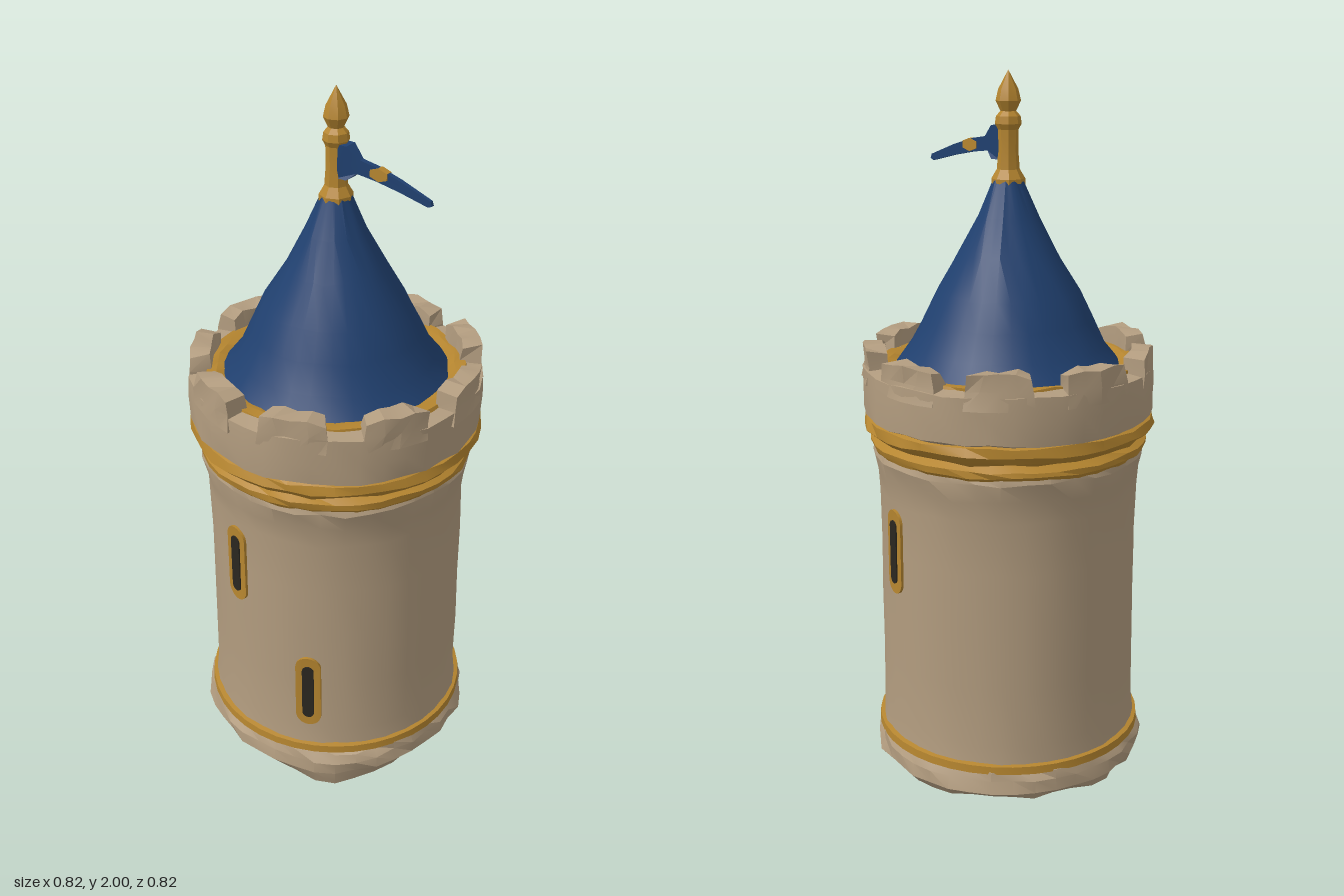
import * as THREE from 'three';
import { toCreasedNormals } from 'three/addons/utils/BufferGeometryUtils.js';

const mat = (name, color, side = THREE.FrontSide) => {
  const m = new THREE.MeshStandardMaterial({ color, side });
  m.name = name;
  return m;
};

// Repeatable noise in -1..1 that depends only on position, so seams stay closed
function noise(x, y, z, k) {
  const n = Math.sin(Math.round(x * 1000) * 12.99 + Math.round(y * 1000) * 78.23 +
    Math.round(z * 1000) * 37.72 + k * 4.1) * 43758.55;
  return (n - Math.floor(n)) * 2 - 1;
}

// Move every vertex by a rule
function warp(geo, rule) {
  const p = geo.attributes.position;
  const v = new THREE.Vector3();
  for (let i = 0; i < p.count; i++) {
    rule(v.fromBufferAttribute(p, i));
    p.setXYZ(i, v.x, v.y, v.z);
  }
  return geo;
}

// Chip the surface: push vertices in or out and up or down
function roughen(geo, radial, vertical) {
  return warp(geo, (v) => {
    const f = 1 + radial * noise(v.x, v.y, v.z, 1) / Math.max(Math.hypot(v.x, v.z), 0.1);
    const dy = vertical * noise(v.x, v.y, v.z, 2);
    v.set(v.x * f, v.y + dy, v.z * f);
  });
}

const lathe = (points, sides) =>
  new THREE.LatheGeometry(points.map(([r, y]) => new THREE.Vector2(r, y)), sides);

// Upright slot with round ends
function slot(w, h) {
  const r = w / 2, c = h / 2 - r;
  const s = new THREE.Shape();
  s.absarc(0, c, r, 0, Math.PI);
  s.absarc(0, -c, r, Math.PI, Math.PI * 2);
  return s;
}

export function createModel() {
  const tower = new THREE.Group();
  tower.name = 'tower';
  const stone = mat('sandstone', 0xb29c7f);
  const gold = mat('gold', 0xb5852f);
  const blue = mat('roofBlue', 0x20406f);
  const dark = mat('windowDark', 0x2a2720);

  const add = (name, geo, material, crease = 0.35, parent = tower) => {
    const mesh = new THREE.Mesh(toCreasedNormals(geo, crease), material);
    mesh.name = name;
    parent.add(mesh);
    return mesh;
  };

  // Ragged foot, with one lump hanging down to the ground at the front left
  const foot = lathe([[0, 0.045], [0.25, 0.045], [0.372, 0.045], [0.392, 0.07],
    [0.39, 0.105], [0.378, 0.13], [0.362, 0.14]], 40);
  warp(foot, (v) => {
    const r = Math.hypot(v.x, v.z);
    if (r < 0.3) return;
    const low = v.y < 0.06;
    const f = 1 + (low ? 0.035 : 0.02) * noise(v.x, v.y, v.z, 1);
    const lump = Math.max(0, 1 - Math.max(0, Math.hypot(v.x - 0.217, v.z - 0.301) - 0.03) / 0.16);
    v.set(v.x * f, v.y - (low ? 0.045 : 0.02) * lump, v.z * f);
  });
  add('foot', foot, stone);

  add('footBand', lathe([[0.365, 0.12], [0.384, 0.125], [0.382, 0.147], [0.36, 0.152]], 40), gold);

  // Main wall, flaring out under the parapet
  const wall = lathe([[0.372, 0.13], [0.366, 0.2], [0.364, 0.37], [0.364, 0.54], [0.364, 0.7],
    [0.364, 0.85], [0.371, 0.91], [0.383, 0.965], [0.375, 0.99]], 36);
  add('wall', roughen(wall, 0.003, 0.006), stone, 0.5);

  // Double gold moulding with a groove between
  const moulding = lathe([[0.37, 0.965], [0.387, 0.985], [0.387, 1.002], [0.368, 1.014],
    [0.39, 1.026], [0.409, 1.045], [0.403, 1.07], [0.38, 1.08]], 40);
  add('moulding', roughen(moulding, 0.004, 0.004), gold);

  // Parapet wall and the gold walkway inside it
  const parapet = lathe([[0.38, 1.065], [0.404, 1.078], [0.407, 1.14], [0.404, 1.205],
    [0.345, 1.212], [0.335, 1.15]], 40);
  add('parapet', roughen(parapet, 0.004, 0.005), stone);
  const walkway = lathe([[0.36, 1.195], [0.357, 1.217], [0.33, 1.217], [0.28, 1.2]], 40);
  add('walkway', roughen(walkway, 0.006, 0.003), gold);

  // Nine chipped merlons, each a box bent round the tower
  const merlons = new THREE.Group();
  merlons.name = 'merlons';
  tower.add(merlons);
  for (let i = 0; i < 9; i++) {
    const mid = (i * 40 + 20) * Math.PI / 180;
    const halfAngle = (13.5 + 1.5 * noise(i, 0, 0, 3)) * Math.PI / 180;
    const top = 1.262 + 0.008 * noise(i, 0, 0, 4);
    const block = new THREE.BoxGeometry(2, 2, 2, 4, 2, 1);
    warp(block, (v) => {
      const high = (v.y + 1) / 2;
      const corner = Math.abs(v.x) > 0.9 ? 1 : 0;
      const jit = (k) => noise(v.x + i, v.y, v.z, k);
      const a = mid + v.x * halfAngle * (1 - 0.07 * high) + 0.02 * jit(5);
      const r = (v.z > 0 ? 0.407 - 0.006 * high : 0.34 + 0.006 * high) + 0.006 * jit(6);
      const y = 1.17 + (top - 1.17) * high - 0.008 * corner * high + 0.006 * high * jit(7);
      v.set(r * Math.sin(a), y, r * Math.cos(a));
    });
    add('merlon', block, stone, 0.3, merlons);
  }

  // Bell-shaped roof
  const roof = lathe([[0.29, 1.19], [0.317, 1.205], [0.272, 1.26], [0.235, 1.335], [0.198, 1.41],
    [0.135, 1.515], [0.083, 1.615], [0.042, 1.71], [0, 1.72]], 32);
  add('roof', roughen(roof, 0.003, 0.004), blue, 0.5);

  // Faceted finial with a spear tip
  add('finial', lathe([[0.046, 1.695], [0.046, 1.715], [0.031, 1.74], [0.027, 1.79], [0.028, 1.845],
    [0.036, 1.86], [0.033, 1.88], [0.021, 1.893], [0.034, 1.92], [0.027, 1.95], [0, 2]], 8), gold, 0.3);

  // Pennant, thick at the pole and thin at the tip
  const pennant = new THREE.Group();
  pennant.name = 'pennant';
  pennant.rotation.y = -0.09;
  pennant.position.z = 0.01;
  tower.add(pennant);
  const cloth = new THREE.Shape([[0.015, 1.765], [0.045, 1.765], [0.07, 1.785], [0.13, 1.778], [0.2, 1.765],
    [0.285, 1.745], [0.296, 1.75], [0.292, 1.762], [0.2, 1.795], [0.13, 1.815], [0.08, 1.823],
    [0.045, 1.855], [0.015, 1.855]].map(([x, y]) => new THREE.Vector2(x, y)));
  const clothGeo = new THREE.ExtrudeGeometry(cloth, { depth: 2, bevelEnabled: false });
  warp(clothGeo, (v) => {
    v.z = (v.z - 1) * (v.x < 0.06 ? 0.02 : 0.008 - 0.014 * (v.x - 0.06));
  });
  add('pennantCloth', clothGeo, blue);
  const emblem = new THREE.CylinderGeometry(0.024, 0.024, 0.02, 6).rotateX(Math.PI / 2);
  emblem.scale(1.25, 0.75, 1).translate(0.138, 1.797, 0);
  add('pennantEmblem', emblem, gold);

  // Arrow slits: thin plates bent onto the wall, [angle, height]
  const plate = (shape, radius) => {
    const geo = new THREE.ExtrudeGeometry(shape, { depth: 0.008, bevelEnabled: false, curveSegments: 8 });
    return warp(geo, (v) => { v.z += Math.sqrt(radius * radius - v.x * v.x) - 0.008; });
  };
  for (const [angle, y] of [[-0.218, 0.71], [0.417, 0.34], [Math.PI - 0.274, 0.71]]) {
    const slit = new THREE.Group();
    slit.name = 'arrowSlit';
    slit.rotation.y = angle;
    slit.position.y = y;
    tower.add(slit);
    add('slitFrame', plate(slot(0.074, 0.245), 0.371), gold, 0.35, slit);
    add('slitOpening', plate(slot(0.034, 0.185), 0.374), dark, 0.35, slit);
  }

  return tower;
}
